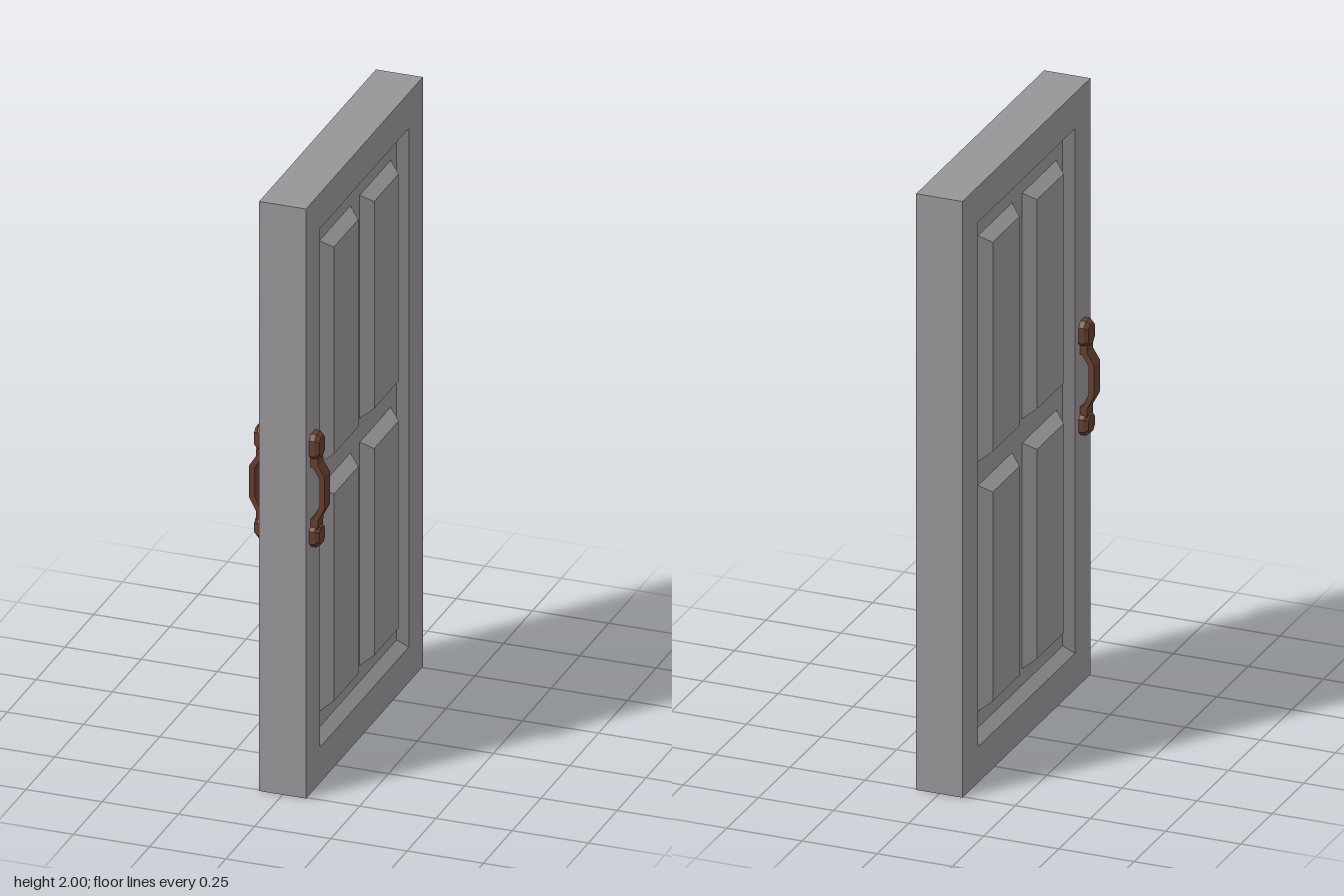
import * as THREE from 'three';

// Rectangular loop in the y-z plane at x, optionally with cut corners
function loop(x, cy, cz, hy, hz, cut = 0) {
  const pts = [];
  for (const [sy, sz] of [[1, 1], [-1, 1], [-1, -1], [1, -1]]) {
    const a = [x, cy + sy * (hy - cut), cz + sz * hz];
    const b = [x, cy + sy * hy, cz + sz * (hz - cut)];
    if (!cut) pts.push(a);
    else if (sy * sz > 0) pts.push(b, a);
    else pts.push(a, b);
  }
  return pts;
}

// Closed solid through loops, with flat faces
function loft(loops) {
  const pos = [];
  const tri = (a, b, c) => pos.push(...a, ...b, ...c);
  const n = loops[0].length;
  for (let i = 0; i < loops.length - 1; i++) {
    for (let j = 0; j < n; j++) {
      const k = (j + 1) % n, p = loops[i], q = loops[i + 1];
      tri(p[j], p[k], q[k]);
      tri(p[j], q[k], q[j]);
    }
  }
  const first = loops[0], last = loops[loops.length - 1];
  for (let j = 1; j < n - 1; j++) {
    tri(first[0], first[j + 1], first[j]);
    tri(last[0], last[j], last[j + 1]);
  }
  const g = new THREE.BufferGeometry();
  g.setAttribute('position', new THREE.Float32BufferAttribute(pos, 3));
  g.computeVertexNormals();
  return g;
}

export function createModel() {
  const grey = new THREE.MeshStandardMaterial({ color: 0x989598, name: 'door grey' });
  const brown = new THREE.MeshStandardMaterial({ color: 0x653e30, name: 'handle brown' });
  const model = new THREE.Group();
  model.name = 'door';
  const add = (parent, name, geometry, material) => {
    const mesh = new THREE.Mesh(geometry, material);
    mesh.name = name;
    parent.add(mesh);
    return mesh;
  };

  // Slab with a bevelled recess on both faces
  const T = 0.077, FLOOR = 0.046;
  add(model, 'slab', loft([
    loop(-FLOOR, 1, 0, 0.85, 0.36),
    loop(-T, 1, 0, 0.88, 0.385),
    loop(-T, 1, 0, 1, 0.507),
    loop(T, 1, 0, 1, 0.507),
    loop(T, 1, 0, 0.88, 0.385),
    loop(FLOOR, 1, 0, 0.85, 0.36),
  ]), grey);

  // Raised panel and handle geometries, shared by both faces
  const panel = (cy) => loft([
    loop(FLOOR - 0.005, cy, 0, 0.379, 0.135),
    loop(FLOOR, cy, 0, 0.379, 0.135),
    loop(0.083, cy, 0, 0.351, 0.106),
  ]);
  const mount = (cy, hy) => loft([
    loop(T - 0.005, cy, 0, hy, 0.034, 0.017),
    loop(0.094, cy, 0, hy, 0.034, 0.017),
    loop(0.107, cy, 0, hy - 0.01, 0.025, 0.013),
  ]);
  const gripShape = new THREE.Shape([
    [0.075, 1.15], [0.1, 1.15], [0.102, 1.115], [0.124, 1.08],
    [0.124, 0.972], [0.102, 0.93], [0.1, 0.89], [0.075, 0.89],
    [0.075, 0.93], [0.086, 0.935], [0.106, 0.978],
    [0.106, 1.073], [0.086, 1.105], [0.075, 1.11],
  ].map(([x, y]) => new THREE.Vector2(x, y)));
  const grip = new THREE.ExtrudeGeometry(gripShape, { depth: 0.047, bevelEnabled: false });
  grip.translate(0, 0, -0.0235);
  const panels = [['lowerPanel', panel(0.583)], ['upperPanel', panel(1.421)]];
  const upperMount = mount(1.175, 0.043), lowerMount = mount(0.873, 0.038);

  for (const turn of [0, Math.PI]) {
    // Four panels per face
    const face = new THREE.Group();
    face.name = turn ? 'rightFace' : 'leftFace';
    face.rotation.y = turn;
    model.add(face);
    for (const [name, g] of panels) {
      for (const z of [-0.175, 0.175]) add(face, name, g, grey).position.z = z;
    }

    // Pull handle near the front edge
    const handle = new THREE.Group();
    handle.name = turn ? 'rightHandle' : 'leftHandle';
    handle.rotation.y = turn;
    handle.position.z = 0.446;
    model.add(handle);
    add(handle, 'upperMount', upperMount, brown);
    add(handle, 'lowerMount', lowerMount, brown);
    add(handle, 'grip', grip, brown);
  }
  return model;
}
